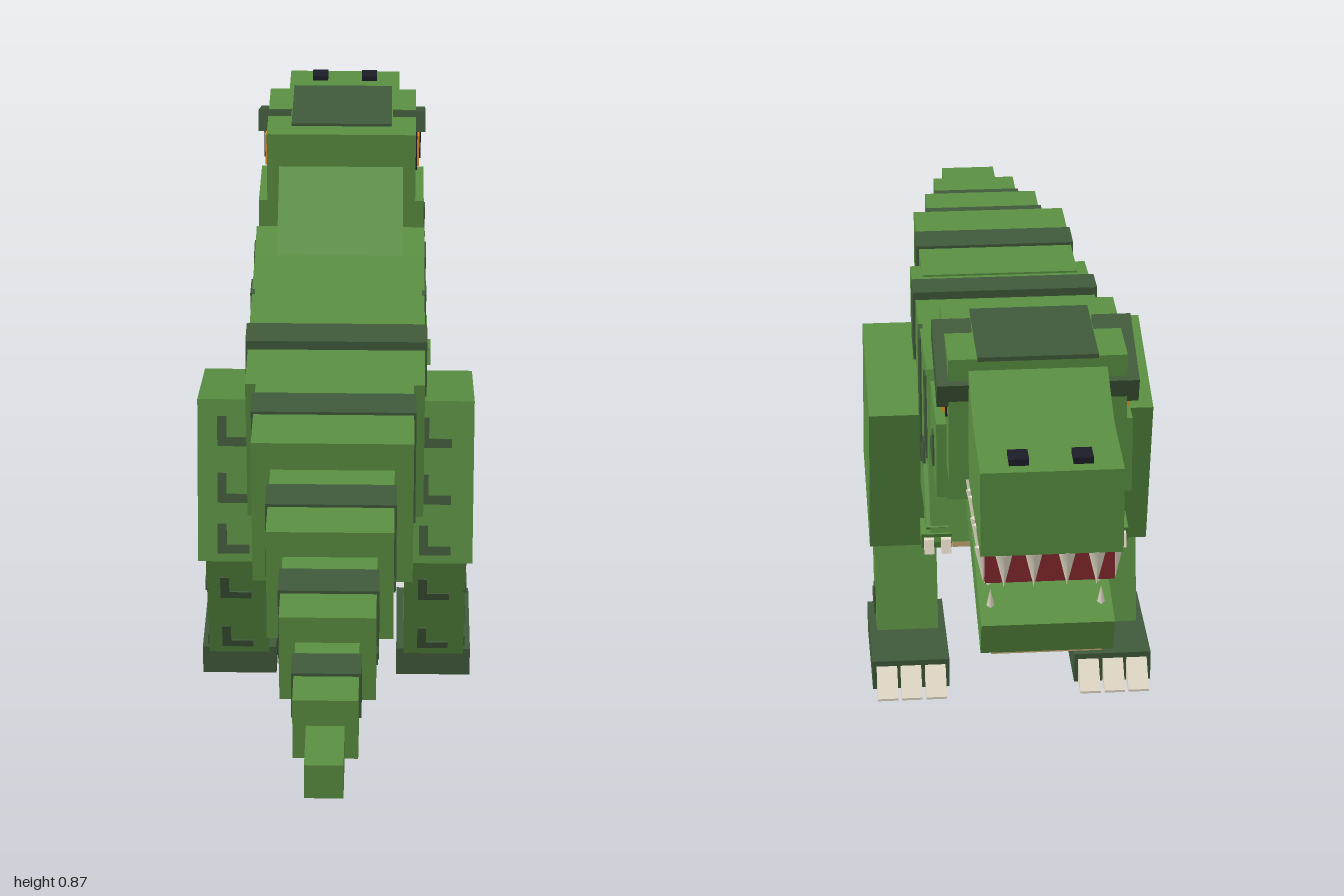
import * as THREE from 'three';

const mat = (name, color, side = THREE.FrontSide) => {
  const m = new THREE.MeshStandardMaterial({ color, side });
  m.name = name;
  return m;
};

export function createModel() {
  const green = mat('skin green', 0x5a8f42);
  const dark = mat('stripe green', 0x40593a);
  const tan = mat('belly tan', 0xc8ab74);
  const red = mat('gum red', 0x84282e);
  const ivory = mat('tooth ivory', 0xe4dcc8);
  const orange = mat('eye orange', 0xf0981c);
  const black = mat('pupil black', 0x1c1c28);

  const model = new THREE.Group();
  model.name = 'dinosaur';

  const add = (name, geo, material, parent = model) => {
    const m = new THREE.Mesh(geo, material);
    m.name = name;
    parent.add(m);
    return m;
  };

  // Slab with a side profile of [z, y] points, running from x0 to x1
  const slab = (name, pts, x0, x1, material, parent) => {
    const shape = new THREE.Shape(pts.map(([z, y]) => new THREE.Vector2(z, y)));
    const geo = new THREE.ExtrudeGeometry(shape, { depth: x1 - x0, bevelEnabled: false });
    geo.rotateY(-Math.PI / 2).translate(x1, 0, 0);
    return add(name, geo, material, parent);
  };
  const rect = (z0, z1, y0, y1) => [[z0, y0], [z1, y0], [z1, y1], [z0, y1]];
  const block = (name, x0, x1, y0, y1, z0, z1, material, parent) =>
    slab(name, rect(z0, z1, y0, y1), x0, x1, material, parent);

  // Small stepped skin mark on a side face
  const mark = (z, y, x, parent) =>
    slab('skinMark', [[z + 0.04, y - 0.025], [z - 0.03, y - 0.025], [z - 0.03, y + 0.03],
      [z - 0.008, y + 0.03], [z - 0.008, y - 0.005], [z + 0.04, y - 0.005]], x - 0.003, x + 0.003, dark, parent);

  const cone = (name, x, y, z, r, h, down, parent) => {
    const c = add(name, new THREE.ConeGeometry(r, h, 4), ivory, parent);
    c.position.set(x, y, z);
    if (down) c.rotation.x = Math.PI;
  };

  // Tail: half width, bottom, top, front z, back z, stripe range
  [
    [0.136, 0.403, 0.668, 0.03, 0.32, 0.147, 0.217],
    [0.104, 0.418, 0.618, 0.32, 0.53, 0.378, 0.447],
    [0.077, 0.42, 0.572, 0.53, 0.72, 0.576, 0.646],
    [0.051, 0.42, 0.526, 0.72, 0.89, 0.76, 0.82],
    [0.03, 0.42, 0.48, 0.89, 1.0],
  ].forEach(([w, y0, y1, z0, z1, s0, s1], i) => {
    block('tailSegment' + (i + 1), -w, w, y0, y1, z0, z1, green);
    if (s0) block('tailStripe' + (i + 1), -w - 0.004, w + 0.004, i < 2 ? 0.46 : 0.45, y1 + 0.005, s0, s1, dark);
  });

  // Body, chest and belly
  slab('body', [[0.09, 0.66], [0.06, 0.365], [-0.42, 0.39], [-0.52, 0.43], [-0.45, 0.71], [-0.35, 0.694], [-0.09, 0.674]],
    -0.155, 0.155, green);
  slab('bellyPlate', [[0, 0.326], [-0.41, 0.362], [-0.41, 0.395], [0, 0.37]], -0.113, 0.113, tan);
  slab('hipStripe', [[-0.025, 0.685], [-0.02, 0.46], [-0.09, 0.46], [-0.09, 0.688]], -0.159, 0.159, dark);

  // Neck
  slab('neck', [[-0.35, 0.69], [-0.52, 0.8], [-0.62, 0.66], [-0.6, 0.59], [-0.49, 0.51], [-0.4, 0.5]], -0.115, 0.115, green);

  // Head and snout
  const head = new THREE.Group();
  head.name = 'head';
  model.add(head);
  slab('skull', [[-0.525, 0.862], [-0.525, 0.595], [-0.69, 0.595], [-0.69, 0.657], [-0.745, 0.657], [-0.745, 0.862]],
    -0.138, 0.138, green, head);
  slab('snout', [[-0.6, 0.657], [-0.6, 0.845], [-0.745, 0.843], [-0.85, 0.8], [-1, 0.795], [-1, 0.657]],
    -0.107, 0.107, green, head);
  block('crownPlate', -0.093, 0.093, 0.86, 0.867, -0.75, -0.565, dark, head);
  block('upperGum', -0.098, 0.098, 0.594, 0.657, -0.967, -0.68, red, head);

  // Lower jaw
  slab('lowerJaw', [[-0.595, 0.595], [-0.585, 0.545], [-0.925, 0.45], [-0.945, 0.508]], -0.102, 0.102, green, head);
  slab('jawUnderside', [[-0.62, 0.537], [-0.62, 0.524], [-0.915, 0.442], [-0.915, 0.455]], -0.085, 0.085, tan, head);

  // Teeth across the front
  for (const x of [-0.07, -0.025, 0.025, 0.07]) cone('frontTooth', x, 0.62, -0.975, 0.014, 0.06, true, head);

  // Paired parts
  for (const s of [-1, 1]) {
    const side = s > 0 ? 'left' : 'right';
    const span = (a, b) => (s > 0 ? [a, b] : [-b, -a]);

    // Face
    block(side + 'Cheek', ...span(0.1, 0.154), 0.6, 0.727, -0.69, -0.53, green, head);
    block(side + 'EyeSocket', ...span(0.136, 0.141), 0.752, 0.822, -0.715, -0.617, black, head);
    block(side + 'EyeIris', ...span(0.139, 0.145), 0.757, 0.818, -0.708, -0.625, orange, head);
    block(side + 'EyePupil', ...span(0.143, 0.148), 0.757, 0.818, -0.684, -0.662, black, head);
    slab(side + 'Brow', [[-0.615, 0.873], [-0.603, 0.835], [-0.742, 0.782], [-0.755, 0.823]],
      ...span(0.095, 0.156), dark, head);
    block(side + 'Nostril', ...span(0.033, 0.063), 0.79, 0.806, -0.98, -0.945, black, head);
    for (let i = 0; i < 6; i++) {
      cone('upperTooth', s * 0.1, 0.62, -0.72 - i * 0.047, 0.013, i % 2 ? 0.06 : 0.085, true, head);
    }
    for (let i = 0; i < 4; i++) {
      const z = -0.75 - i * 0.05;
      cone('lowerTooth', s * 0.085, 0.59 + (z + 0.62) * 0.25, z, 0.012, 0.055, false, head);
    }

    // Flank stripes and marks
    slab(side + 'FlankStripe', [[-0.215, 0.685], [-0.222, 0.46], [-0.28, 0.46], [-0.275, 0.685]],
      ...span(0.15, 0.158), dark);
    slab(side + 'ShoulderStripe', [[-0.385, 0.68], [-0.4, 0.55], [-0.45, 0.55], [-0.432, 0.69]],
      ...span(0.15, 0.158), dark);
    mark(-0.6, 0.65, s * 0.154, head);
    mark(0.1, 0.5, s * 0.136);
    mark(0.42, 0.49, s * 0.104);
    mark(0.63, 0.48, s * 0.077);
    mark(-0.34, 0.51, s * 0.155);

    // Arm
    const arm = new THREE.Group();
    arm.name = side + 'Arm';
    model.add(arm);
    slab('upperArm', [[-0.4, 0.5], [-0.44, 0.535], [-0.515, 0.455], [-0.475, 0.42]], ...span(0.125, 0.162), green, arm);
    slab('hand', [[-0.47, 0.45], [-0.46, 0.42], [-0.51, 0.415], [-0.52, 0.445]], ...span(0.12, 0.17), green, arm);
    for (const x of [0.13, 0.158]) {
      slab('armClaw', [[-0.505, 0.44], [-0.505, 0.42], [-0.533, 0.415], [-0.525, 0.437]],
        ...span(x - 0.008, x + 0.008), ivory, arm);
    }

    // Leg
    const leg = new THREE.Group();
    leg.name = side + 'Leg';
    model.add(leg);
    slab('thigh', [[0.01, 0.588], [0.083, 0.302], [-0.164, 0.238], [-0.233, 0.524]], ...span(0.112, 0.243), green, leg);
    slab('shin', [[0.06, 0.34], [-0.03, 0.045], [-0.14, 0.045], [-0.065, 0.34]], ...span(0.123, 0.232), green, leg);
    block('foot', ...span(0.11, 0.245), 0, 0.055, -0.25, -0.03, dark, leg);
    for (const x of [0.135, 0.178, 0.22]) {
      slab('toeClaw', [[-0.25, 0], [-0.25, 0.045], [-0.293, 0.004], [-0.293, 0]],
        ...span(x - 0.018, x + 0.018), ivory, leg);
    }
    mark(-0.02, 0.23, s * 0.232, leg);
    mark(-0.065, 0.09, s * 0.232, leg);

    // Stepped marks on the back of thigh and shin, [y, z] on the sloping faces
    for (const [y, z, lean] of [[0.53, 0.025, -0.25], [0.43, 0.05, -0.25], [0.34, 0.073, -0.25], [0.21, 0.02, 0.296], [0.085, -0.018, 0.296]]) {
      const spot = new THREE.Group();
      spot.name = 'backMark';
      spot.position.set(s * 0.178, y, z);
      spot.rotation.x = lean;
      leg.add(spot);
      block('markStem', -0.03, -0.014, -0.02, 0.03, -0.003, 0.003, dark, spot);
      block('markFoot', -0.03, 0.026, -0.024, -0.008, -0.003, 0.003, dark, spot);
    }
  }
  return model;
}
